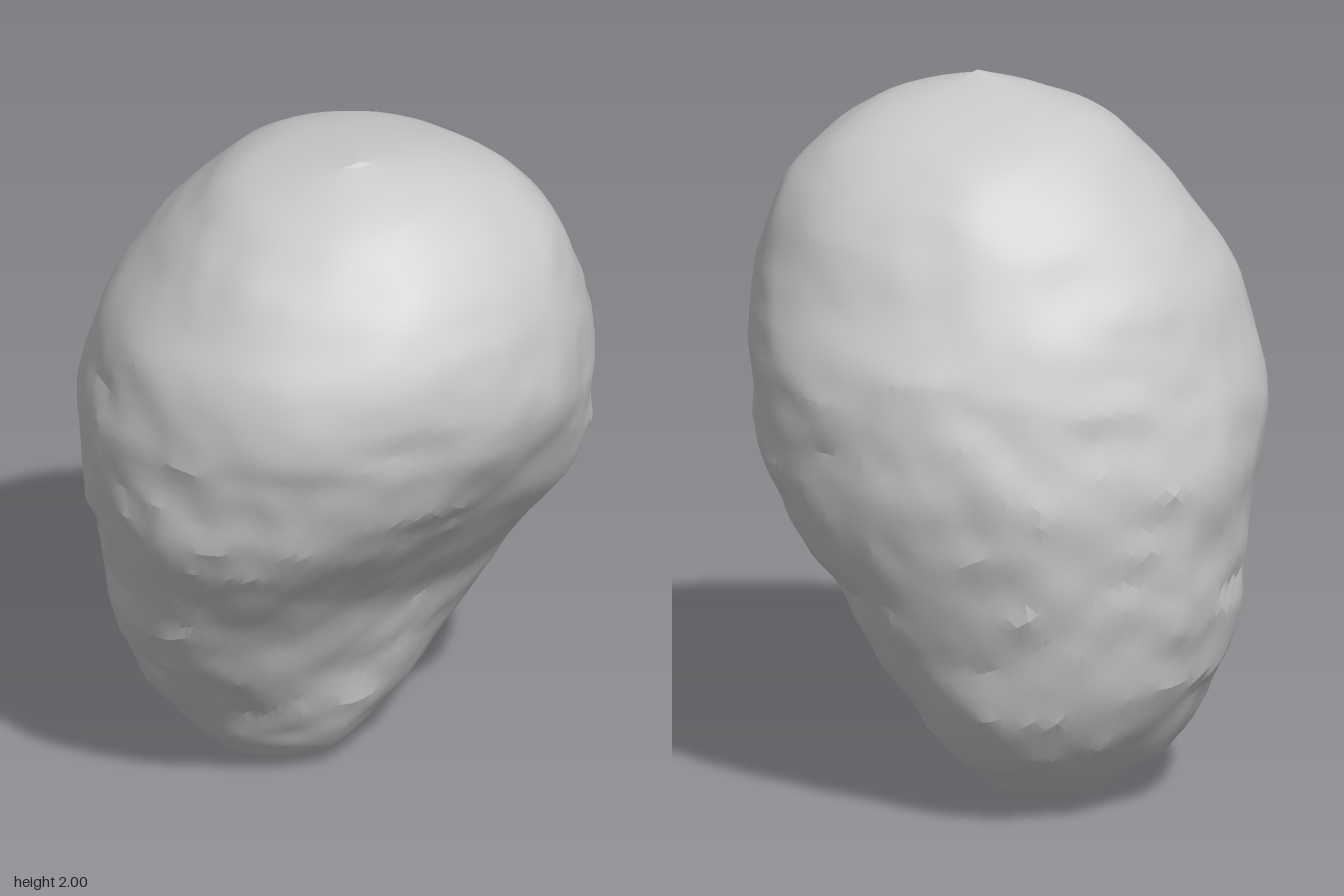
import * as THREE from 'three';
import { toCreasedNormals } from 'three/addons/utils/BufferGeometryUtils.js';

const { smoothstep, clamp, lerp, degToRad } = THREE.MathUtils;

// Cross-sections from bottom to top: [y, xMin, xMax, zBack, zFront]
const SECTIONS = [
  [0, 0.02, 0.02, -0.17, -0.17],
  [0.03, -0.17, 0.15, -0.29, -0.05],
  [0.1, -0.28, 0.27, -0.4, 0.02],
  [0.2, -0.36, 0.385, -0.5, 0.08],
  [0.4, -0.5, 0.5, -0.62, 0.155],
  [0.6, -0.585, 0.585, -0.675, 0.245],
  [0.8, -0.65, 0.67, -0.7, 0.4],
  [1.0, -0.71, 0.73, -0.73, 0.565],
  [1.2, -0.735, 0.73, -0.7, 0.685],
  [1.35, -0.725, 0.715, -0.66, 0.73],
  [1.5, -0.68, 0.66, -0.605, 0.73],
  [1.65, -0.58, 0.6, -0.515, 0.68],
  [1.77, -0.49, 0.53, -0.41, 0.605],
  [1.88, -0.37, 0.41, -0.29, 0.49],
  [1.95, -0.22, 0.23, -0.12, 0.37],
  [2.0, -0.07, -0.07, 0.18, 0.18],
];
const spine = (ix, iz) => new THREE.CatmullRomCurve3(
  SECTIONS.map((s) => new THREE.Vector3(s[ix], s[0], s[iz])), false, 'catmullrom');
const lowSpine = spine(1, 3);
const highSpine = spine(2, 4);

// Seeded value noise in the range -1 to 1
function hash(i, j, k) {
  let h = Math.imul(i, 374761393) ^ Math.imul(j, 668265263) ^ Math.imul(k, 1274126177);
  h = Math.imul(h ^ (h >>> 13), 1103515245);
  return ((h ^ (h >>> 16)) >>> 0) / 2147483648 - 1;
}

function noise(x, y, z) {
  const [i, j, k] = [x, y, z].map(Math.floor);
  const [u, v, w] = [x - i, y - j, z - k];
  let sum = 0;
  for (let c = 0; c < 8; c++) {
    const a = c & 1, b = (c >> 1) & 1, d = c >> 2;
    sum += hash(i + a, j + b, k + d) * (a ? u : 1 - u) * (b ? v : 1 - v) * (d ? w : 1 - w);
  }
  return sum;
}

// Rounded body: squarer at the lower front, slimmer at the back corners
function bodyPoint(t, angle) {
  const low = lowSpine.getPoint(t), high = highSpine.getPoint(t);
  const y = low.y;
  const body = smoothstep(y, 0.15, 0.5);
  const lower = body * (1 - smoothstep(y, 0.85, 1.25));
  const midZ = (low.z + high.z) / 2 + 0.03 * body + 0.1 * lower * (high.z - low.z);
  const cos = Math.cos(angle), sin = Math.sin(angle);
  const front = sin > 0;
  const backPower = lerp(2.15, 1.88, body) + (cos > 0 ? 0.1 * lower : 0);
  const power = 2 / (front ? 2 + 0.4 * lower : backPower);
  const bend = (v) => Math.sign(v) * Math.abs(v) ** power;
  return new THREE.Vector3(
    (low.x + high.x) / 2 + ((high.x - low.x) / 2) * bend(cos),
    y,
    midZ + (front ? high.z - midZ : midZ - low.z) * bend(sin)
  );
}

// A broad flat break on the upper back left shoulder
const breakNormal = new THREE.Vector3(0.72, 0.55, -0.42).normalize();
const breakPlane = new THREE.Plane().setFromNormalAndCoplanarPoint(breakNormal, new THREE.Vector3(0.5, 1.81, 0));

function flattenShoulder(p) {
  const over = Math.max(0, breakPlane.distanceToPoint(p));
  p.addScaledVector(breakNormal, -over);
}

// Chips and dents: wider than tall, stronger on the lower half, none at the tips
function roughen(p) {
  const coreY = clamp(p.y, 0.5, 1.4);
  const core = new THREE.Vector3(0, coreY, lerp(-0.2, 0.06, (coreY - 0.5) / 0.9));
  const out = p.clone().sub(core).normalize();
  const lower = 1 - smoothstep(p.y, 1.0, 1.6);
  const tips = smoothstep(p.y, 0, 0.1) * (1 - smoothstep(p.y, 1.9, 2));
  const size = 0.013 * noise(p.x * 4 + 9, p.y * 4.5, p.z * 4 + 5)
    + (0.006 + 0.009 * lower) * noise(p.x * 7 + 3, p.y * 12, p.z * 7 + 7)
    + (0.003 + 0.004 * lower) * noise(p.x * 14, p.y * 20, p.z * 14);
  p.addScaledVector(out, size * tips);
}

// An even ball of triangles, each corner moved onto the body
function createRockGeometry() {
  const geometry = new THREE.IcosahedronGeometry(1, 23);
  const position = geometry.attributes.position;
  const v = new THREE.Vector3();
  for (let i = 0; i < position.count; i++) {
    v.fromBufferAttribute(position, i);
    const t = Math.acos(clamp(-v.y, -1, 1)) / Math.PI;
    const p = bodyPoint(t, Math.atan2(v.z, v.x));
    flattenShoulder(p);
    roughen(p);
    position.setXYZ(i, p.x, p.y, p.z);
  }
  return toCreasedNormals(geometry, degToRad(14));
}

export function createModel() {
  const group = new THREE.Group();
  const rock = new THREE.Mesh(
    createRockGeometry(),
    new THREE.MeshStandardMaterial({ color: 0xcccccc })
  );
  rock.name = 'rock';
  group.add(rock);
  return group;
}
